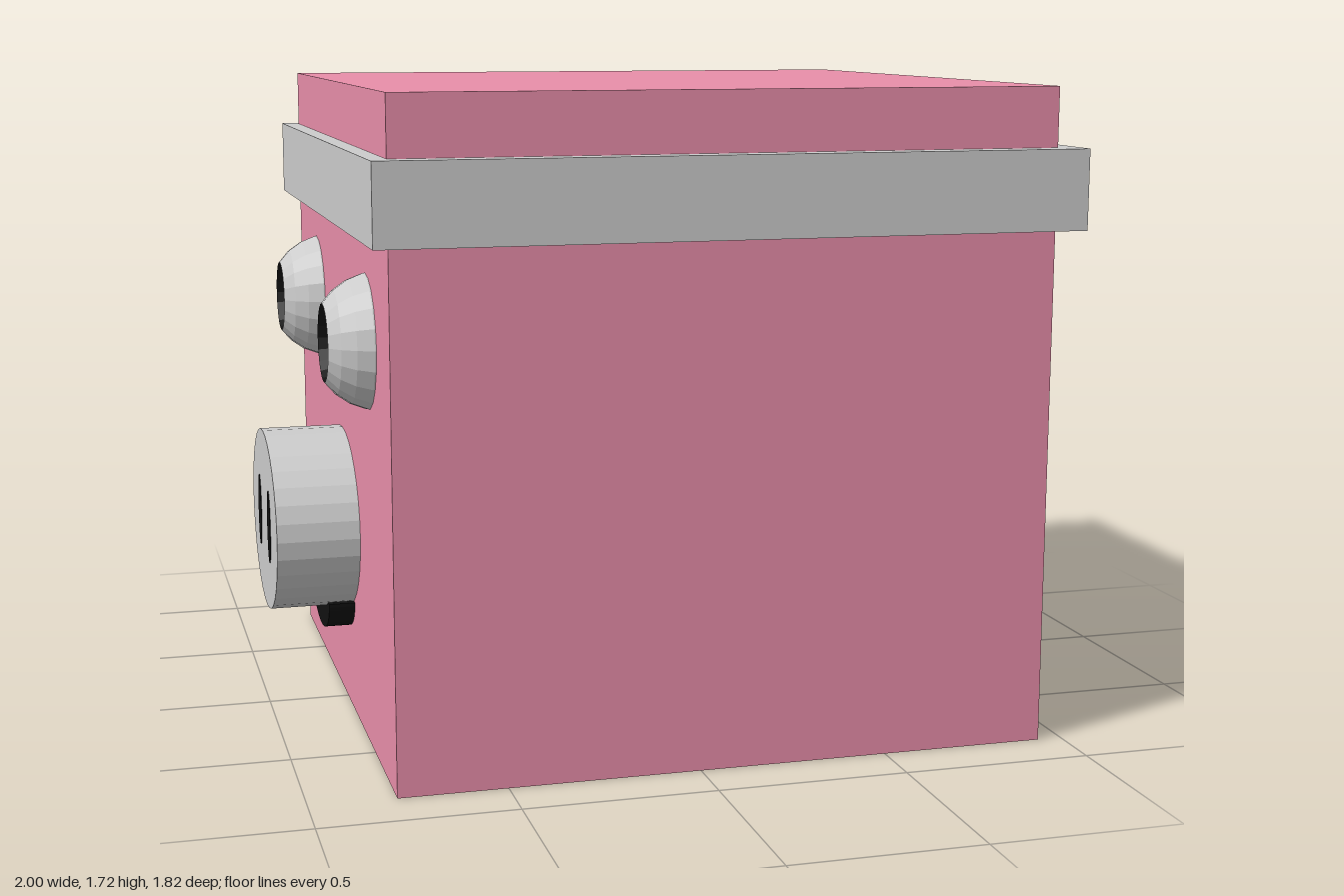
import * as THREE from 'three';

const grey = new THREE.MeshStandardMaterial({ color: 0xcccccc, flatShading: true });
const pink = new THREE.MeshStandardMaterial({ color: 0xe88ea9, flatShading: true });
const black = new THREE.MeshStandardMaterial({ color: 0x111111, flatShading: true });

const FACE_X = -0.78; // plane of the face, which looks towards -x
const MID_Z = -0.01;

export function createModel() {
  const model = new THREE.Group();

  const add = (name, geometry, material, x, y, z) => {
    const mesh = new THREE.Mesh(geometry, material);
    mesh.name = name;
    mesh.position.set(x, y, z);
    model.add(mesh);
    return mesh;
  };

  // Elliptic disc or drum whose axis points out of the face
  const drum = (ry, rz, depth, sides) =>
    new THREE.CylinderGeometry(1, 1, depth, sides).rotateZ(Math.PI / 2).scale(1, ry, rz);

  // Lathe profile of [radius, distance out of the face]
  const lathe = (points) =>
    new THREE.LatheGeometry(points.map(([r, h]) => new THREE.Vector2(r, h)), 20).rotateZ(Math.PI / 2);

  // Body and the band around its top
  add('body', new THREE.BoxGeometry(1.715, 1.72, 1.715), pink, 0.0775, 0.86, -0.007);
  add('band', new THREE.BoxGeometry(1.82, 0.207, 1.82), grey, 0.085, 1.4615, 0);

  // Eyes: cut spheres with a hollow dark pupil
  const R = 0.18, RIM = 0.1, CUT = Math.sqrt(R * R - RIM * RIM);
  const ball = [], bowl = [];
  for (let i = 0; i <= 4; i++) {
    const a = (i / 4) * Math.acos(RIM / R);
    ball.push([R * Math.cos(a), R * Math.sin(a)]);
    const b = (i / 4) * Math.PI / 2;
    bowl.push([RIM * Math.cos(b), CUT - 0.07 * Math.sin(b)]);
  }
  for (const [side, s] of [['left', -1], ['right', 1]]) {
    const z = MID_Z + s * 0.48;
    add(side + 'Eye', lathe(ball), grey, FACE_X + 0.04, 1.08, z);
    add(side + 'Pupil', lathe(bowl), black, FACE_X + 0.04, 1.08, z);
    add(side + 'Nostril', drum(0.1, 0.034, 0.01, 24), black, -0.997, 0.525, MID_Z + s * 0.115);
  }

  // Snout
  add('snout', drum(0.246, 0.31, 0.24, 32), grey, -0.88, 0.525, MID_Z);

  // Mouth: lower half of an ellipse, partly behind the snout
  const lip = new THREE.Shape();
  lip.absellipse(0, 0, 0.18, 0.1, Math.PI, 2 * Math.PI, false);
  lip.closePath();
  const mouth = new THREE.ExtrudeGeometry(lip, { depth: 0.09, bevelEnabled: false, curveSegments: 16 });
  add('mouth', mouth.rotateY(-Math.PI / 2), black, FACE_X + 0.02, 0.315, MID_Z);

  return model;
}
